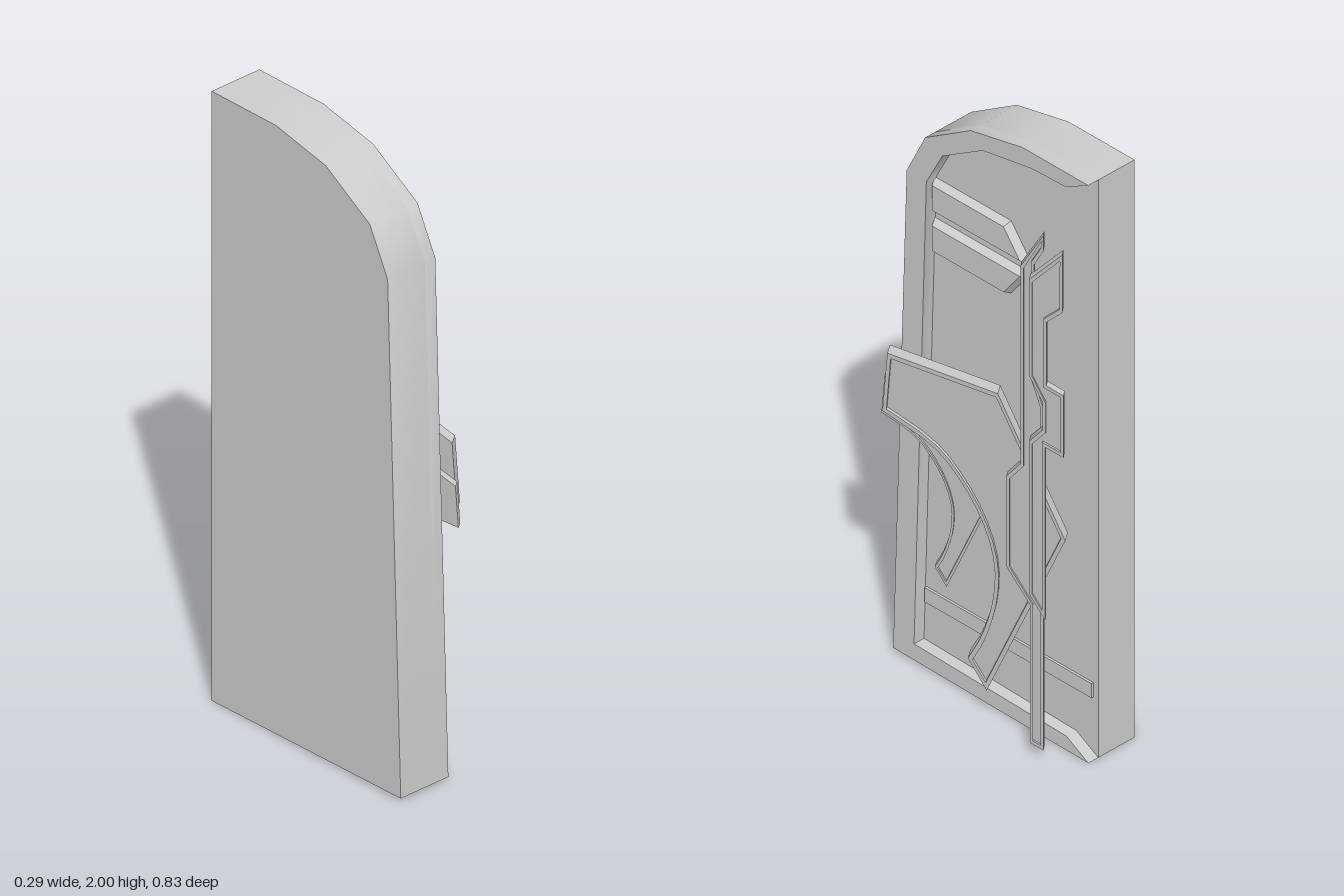
import * as THREE from 'three';
import { toCreasedNormals } from 'three/addons/utils/BufferGeometryUtils.js';

const material = new THREE.MeshStandardMaterial({ color: 0xcccccc, side: THREE.DoubleSide });

// Profiles are lists of [z, y]; they are extruded along +x.
const toVectors = (pts) => pts.map(([z, y]) => new THREE.Vector2(-z, y));

// Moves every edge of a closed profile inwards by d.
function inset(pts, d) {
  const v = toVectors(pts);
  const sign = THREE.ShapeUtils.area(v) > 0 ? 1 : -1;
  const n = v.length;
  return v.map((p, i) => {
    const a = p.clone().sub(v[(i + n - 1) % n]).normalize();
    const b = v[(i + 1) % n].clone().sub(p).normalize();
    const na = new THREE.Vector2(-a.y, a.x).multiplyScalar(sign);
    const nb = new THREE.Vector2(-b.y, b.x).multiplyScalar(sign);
    const m = na.clone().add(nb);
    m.multiplyScalar(d / Math.max(0.3, 1 + na.dot(nb)));
    return [-(p.x + m.x), p.y + m.y];
  });
}

// Extrudes a profile from x0 to x1, sliding it backwards by lean per unit of depth.
function slab(name, pts, x0, x1, { hole = null, lean = 0, leanFrom = x0 } = {}) {
  const shape = new THREE.Shape(toVectors(pts));
  if (hole) shape.holes.push(new THREE.Path(toVectors(hole)));
  const geo = new THREE.ExtrudeGeometry(shape, { depth: x1 - x0, bevelEnabled: false });
  geo.rotateY(Math.PI / 2).translate(x0, 0, 0);
  const pos = geo.attributes.position;
  for (let i = 0; i < pos.count; i++) {
    pos.setZ(i, pos.getZ(i) - lean * (pos.getX(i) - leanFrom));
  }
  const mesh = new THREE.Mesh(toCreasedNormals(geo, 0.6), material);
  mesh.name = name;
  return mesh;
}

// A leaning plate with a raised rim around a shallow sunken face.
function rimmedPlate(name, pts, x0, x1, rimWidth, rimHeight, lean) {
  const group = new THREE.Group();
  group.name = name;
  const xm = x1 - rimHeight;
  group.add(
    slab(name + 'Base', pts, x0, xm, { lean, leanFrom: x0 }),
    slab(name + 'Rim', pts, xm, x1, { hole: inset(pts, rimWidth), lean, leanFrom: x0 })
  );
  return group;
}

// A raised plate whose edges slope in to a smaller front face.
function beveledPlate(name, pts, x0, x1, width) {
  const front = inset(pts, width);
  const n = pts.length;
  const position = [...pts.map(([z, y]) => [x0, y, z]), ...front.map(([z, y]) => [x1, y, z])].flat();
  const index = [];
  for (let i = 0; i < n; i++) {
    const j = (i + 1) % n;
    index.push(i, i + n, j, j, i + n, j + n);
  }
  for (const t of THREE.ShapeUtils.triangulateShape(toVectors(front), [])) {
    index.push(...t.map((k) => k + n));
  }
  const geo = new THREE.BufferGeometry();
  geo.setAttribute('position', new THREE.Float32BufferAttribute(position, 3));
  geo.setIndex(index);
  const mesh = new THREE.Mesh(toCreasedNormals(geo, 0.3), material);
  mesh.name = name;
  return mesh;
}

export function createModel() {
  const model = new THREE.Group();
  model.name = 'doorPanel';

  // Door slab and the raised frame, which is open along the rear edge
  const outer = [[-0.41, 0], [0.385, 0.01], [0.33, 1.69], [0.255, 1.84], [0.07, 1.955], [-0.14, 2], [-0.41, 2]];
  const inner = [[-0.32, 1.95], [-0.18, 1.945], [0.02, 1.91], [0.185, 1.81], [0.25, 1.69], [0.3, 0.065], [-0.32, 0.05]];
  model.add(slab('doorSlab', outer, -0.145, 0, {}));
  model.add(slab('doorFrame', [...outer, ...inner], 0, 0.04));

  // Two mirrored louvres
  for (const s of [1, -1]) {
    const pts = [[0.255, 0.015], [-0.14, 0.015], [-0.055, 0.125], [0.255, 0.125]]
      .map(([z, y]) => [z, 1.56 + s * y]);
    if (s > 0) pts.reverse();
    // corner order fixed so that the faces look outwards
    model.add(beveledPlate(s > 0 ? 'upperLouvre' : 'lowerLouvre', s > 0 ? pts.reverse() : pts, 0, 0.025, 0.012));
  }

  // Low cross strip
  model.add(slab('crossStrip', [[0.29, 0.2], [-0.39, 0.2], [-0.39, 0.25], [0.29, 0.25]], 0, 0.008));

  // Large hooked plate and its smaller copy behind
  const curve = new THREE.SplineCurve(toVectors([
    [0.037, 0.19], [-0.02, 0.297], [-0.065, 0.44], [-0.07, 0.573],
    [-0.02, 0.695], [0.075, 0.795], [0.19, 0.855], [0.385, 0.875],
  ])).getPoints(18).map((p) => [-p.x, p.y]);
  const hook = [[0.365, 1.085], [-0.085, 1.165], [-0.36, 0.79], [-0.04, 0.115], ...curve];
  model.add(rimmedPlate('largeHookPlate', hook, 0.073, 0.108, 0.015, 0.01, 0.72));
  const small = rimmedPlate('smallHookPlate', hook, 0.073, 0.108, 0.015, 0.01, 0.72);
  small.scale.setScalar(0.625);
  small.position.set(0.006, 0.288, 0.174);
  model.add(small);

  // Long inner strip
  model.add(rimmedPlate('innerStrip', [
    [-0.3, 1.82], [-0.207, 1.67], [-0.207, 0.985], [-0.15, 0.915], [-0.15, 0.6], [-0.245, 0.515],
    [-0.245, 0.037], [-0.3, 0.037], [-0.3, 1.22], [-0.262, 1.3], [-0.262, 1.7], [-0.3, 1.765],
  ], 0.108, 0.125, 0.012, 0.006, 0.8));

  // Outer strip with the rear catch
  model.add(rimmedPlate('outerStrip', [
    [-0.395, 1.81], [-0.26, 1.66], [-0.26, 1.325], [-0.315, 1.26], [-0.315, 1.165], [-0.26, 1.1],
    [-0.26, 0.57], [-0.325, 0.51], [-0.325, 1.11], [-0.4, 1.11], [-0.4, 1.325], [-0.33, 1.325],
    [-0.33, 1.545], [-0.395, 1.61],
  ], 0.125, 0.145, 0.012, 0.006, 0.8));

  return model;
}
